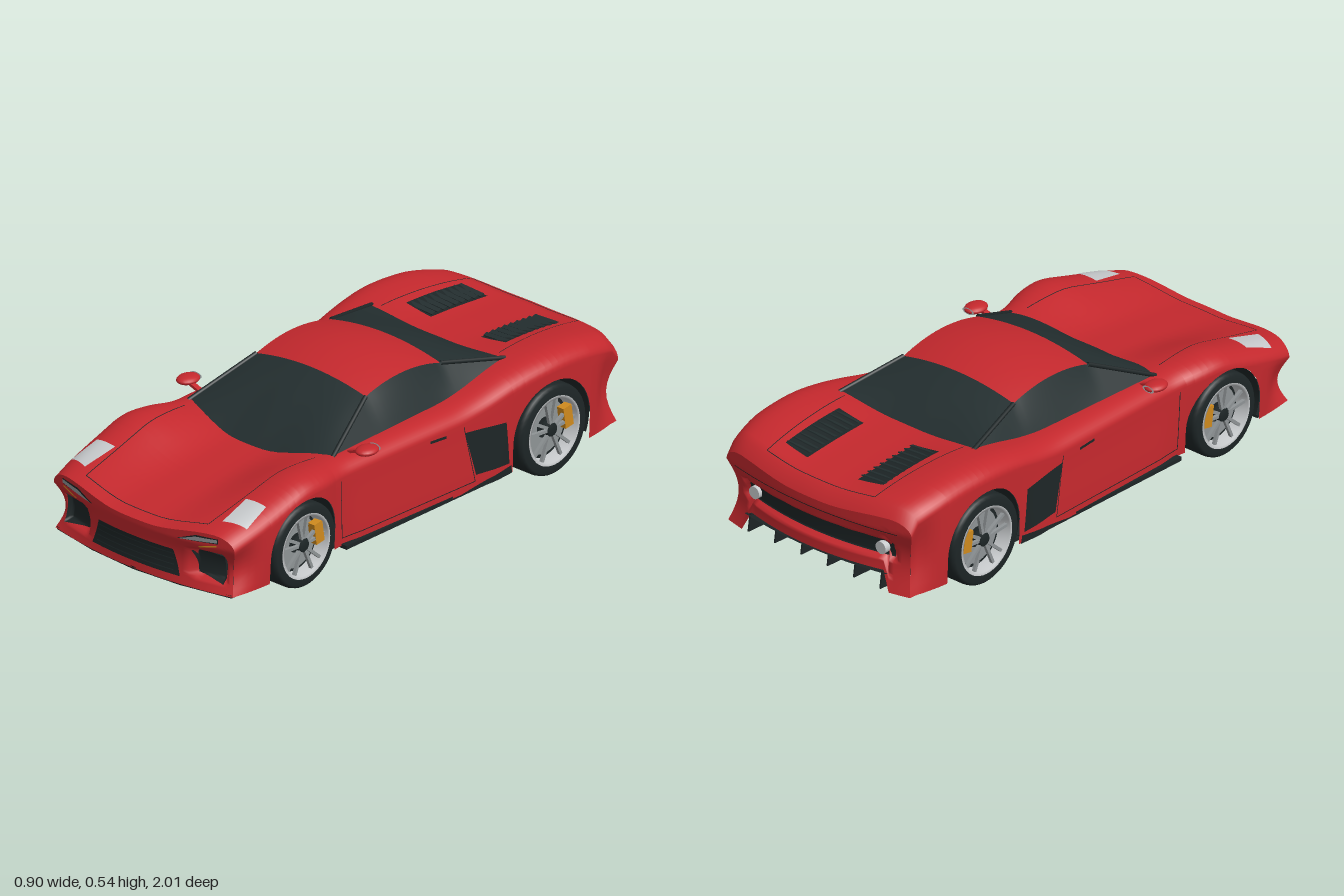
import * as THREE from 'three';

const mat = (name, color, side = THREE.DoubleSide) => Object.assign(new THREE.MeshStandardMaterial({ color, side }), { name });
const red = mat('red paint', 0xc4282d, THREE.FrontSide);
const glass = mat('dark glass', 0x232e2f);
const trim = mat('black trim', 0x1d2526);
const silver = mat('light silver', 0xc6c9cb);
const alloy = mat('grey alloy', 0x8f9496);
const amber = mat('amber', 0xcf8a1e);

const { clamp, lerp } = THREE.MathUtils;
const smooth = (t) => THREE.MathUtils.smoothstep(t, 0, 1);

// Smoothed lookup in a list of [z, value] pairs, falling in z
function profile(table) {
  const at = (z) => {
    const i = clamp(table.findIndex((p) => z >= p[0]), 1, table.length - 1);
    const [z0, a] = table[i - 1], [z1, b] = table[i];
    return lerp(a, b, clamp((z - z0) / (z1 - z0), 0, 1));
  };
  return (z) => [-2, -1, 0, 1, 2].reduce((s, k) => s + at(z + k * 0.018), 0) / 5;
}
const END = 0.945, BASE = 0.07, DROP = 0.05;
const halfWidth = profile([[0.96, 0.41], [0.9, 0.423], [0.8, 0.432], [0.6, 0.437], [0.5, 0.428], [0.4, 0.398],
  [0.25, 0.402], [0, 0.41], [-0.25, 0.418], [-0.45, 0.436], [-0.6, 0.448], [-0.8, 0.445], [-0.9, 0.428], [-0.96, 0.41]]);
const fender = profile([[0.96, 0.28], [0.9, 0.3], [0.8, 0.327], [0.7, 0.357], [0.6, 0.387], [0.5, 0.383], [0.4, 0.37],
  [-0.2, 0.372], [-0.3, 0.386], [-0.4, 0.41], [-0.5, 0.427], [-0.6, 0.436], [-0.7, 0.434], [-0.8, 0.422], [-0.9, 0.395], [-0.96, 0.373]]);
const centre = profile([[0.96, 0.25], [0.9, 0.265], [0.8, 0.283], [0.6, 0.313], [0.42, 0.332], [0.1, 0.35],
  [-0.2, 0.365], [-0.5, 0.408], [-0.7, 0.397], [-0.96, 0.37]]);

// Body surface as rules: top height, sides pinched at the ends, bowed ends
function topY(x, z) {
  const t = clamp(Math.abs(x) / halfWidth(z), 0, 1), f = fender(z), c = centre(z);
  if (t < 0.8) return c + (f - c) * smooth((t - 0.15) / 0.65);
  return f - DROP * (1 - Math.sqrt(Math.max(0, 1 - ((t - 0.8) / 0.2) ** 2)));
}
const depth = (y, z) => clamp((fender(z) - DROP - y) / (fender(z) - DROP - BASE), 0, 1);
const pinch = (y, z) => 0.028 * Math.sin(Math.PI * depth(y, z)) * smooth((Math.abs(z) - 0.8) / 0.145);
function sideX(y, z) {
  const k = depth(y, z), door = 1 - smooth((Math.abs(z) - 0.3) / 0.15);
  return halfWidth(z) + 0.008 * smooth(k) * door - 0.008 * k * k * (1 - door) - pinch(y, z);
}
const bow = (x, z) => z + Math.sign(z) * 0.055 * (1 - clamp(Math.abs(x) / halfWidth(z), 0, 1) ** 2) * smooth((Math.abs(z) - 0.55) / (END - 0.55));
// End panels, with hollows for the side intakes and the tail lamp band
const hollow = (x, y, x0, x1, y0, y1) => [[x, x0], [x1, x], [y, y0], [y1, y]].reduce((p, [a, b]) => p * smooth((a - b) / 0.015 + 0.5), 1);
function endZ(x, y, e) {
  const ax = Math.abs(x), u = Math.min(1, ax / 0.4);
  const cut = e > 0 ? 0.03 * hollow(ax, y, 0.24, 0.36, 0.11, 0.21) : 0.03 * hollow(ax, y, -1, 0.335, 0.185, 0.255);
  return bow(x, e * END) - e * (pinch(y, e * END) * (0.3 + 0.7 * u * u) + cut);
}
const WHEELS = [
  { name: 'front', z: 0.61, y: 0.153, r: 0.153, rim: 0.118, arch: 0.172, out: 0.432 },
  { name: 'rear', z: -0.6, y: 0.165, r: 0.165, rim: 0.126, arch: 0.184, out: 0.448 }];
function bottomY(z) {
  const w = WHEELS.find((o) => Math.abs(z - o.z) < o.arch);
  return w ? w.y + Math.sqrt(w.arch ** 2 - (z - w.z) ** 2) : BASE;
}

// Grid of points fn(i, j); the outside is along di x dj
function grid(ni, nj, fn) {
  const pos = [], idx = [];
  for (let j = 0; j <= nj; j++) for (let i = 0; i <= ni; i++) pos.push(...fn(i, j));
  for (let j = 0; j < nj; j++) for (let i = 0; i < ni; i++) {
    const a = j * (ni + 1) + i, b = a + ni + 1;
    idx.push(a, a + 1, b, a + 1, b + 1, b);
  }
  const g = new THREE.BufferGeometry();
  g.setAttribute('position', new THREE.Float32BufferAttribute(pos, 3));
  g.setIndex(idx);
  g.computeVertexNormals();
  return g;
}
// Four-cornered plate, or thin line, laid on the body by a mapping
const patch = (map, [a, b, c, d], n = 14) => grid(n, n, (i, j) =>
  map(...[0, 1].map((k) => lerp(lerp(a[k], b[k], i / n), lerp(d[k], c[k], i / n), j / n))));
const strip = (map, p, q, h = 0.0015) => {
  const l = Math.hypot(q[0] - p[0], q[1] - p[1]), nx = (p[1] - q[1]) / l * h, ny = (q[0] - p[0]) / l * h;
  return patch(map, [[p[0] - nx, p[1] - ny], [q[0] - nx, q[1] - ny], [q[0] + nx, q[1] + ny], [p[0] + nx, p[1] + ny]]);
};

export function createModel() {
  const car = new THREE.Group();
  const add = (name, geo, m, parent = car) => {
    const o = new THREE.Mesh(geo, m);
    o.name = name;
    parent.add(o);
    return o;
  };

  // Body shell: cross-sections with the lower edge following the wheel arches
  const zs = [];
  for (let i = 0; i <= 60; i++) zs.push(lerp(-END, END, i / 60));
  for (const w of WHEELS) {
    for (let i = 1; i < 20; i++) zs.push(w.z + w.arch * Math.cos(Math.PI * i / 20));
    for (const s of [-1, 1]) zs.push(w.z + s * w.arch * 0.9998, w.z + s * w.arch * 1.0002);
  }
  zs.sort((a, b) => a - b);
  const S = 8, T = 40;
  const topT = (i) => Math.sin(Math.PI * (i / T - 0.5));
  add('bodyShell', grid(2 * S + T, zs.length - 1, (i, j) => {
    const z = zs[j];
    if (i < S || i > S + T) {
      const y = lerp(bottomY(z), fender(z) - DROP, Math.min(i, 2 * S + T - i) / S);
      return [(i < S ? 1 : -1) * sideX(y, z), y, z - Math.sign(z) * pinch(y, z)];
    }
    const x = -topT(i - S) * halfWidth(z);
    return [x, topY(x, z), bow(x, z)];
  }), red);
  // Nose and tail panels; the tail is cut up over the diffuser
  for (const e of [1, -1]) add(e > 0 ? 'nosePanel' : 'tailPanel', grid(T, 28, (i, j) => {
    const z = e * END, x = e * topT(i) * halfWidth(z);
    const low = e > 0 ? BASE : lerp(0.14, BASE, smooth((Math.abs(x) - 0.32) / 0.02));
    const y = lerp(low, topY(x, z), j / 28), px = x * sideX(y, z) / halfWidth(z);
    return [px, y, bow(x, z) + endZ(px, y, e) - bow(px, z)];
  }), red);

  const onTop = (s) => (x, z) => [s * x, topY(x, z) + 0.003, bow(x, z)];
  const onSide = (s) => (z, y) => [s * (sideX(y, z) + 0.003), y, z];
  const onEnd = (s, e, off = 0.005) => (x, y) => [s * x, y, endZ(x, y, e) + e * off];

  // Cabin: windscreen, roof, rear window
  const roofAt = (u, z) => [u * 0.25, 0.538 - 0.028 * ((z + 0.06) / 0.18) ** 2 - 0.03 * u * u, z];
  const mix = (a, b, v) => a.map((p, k) => lerp(p, b[k], v));
  const baseAt = (x, z) => [x, topY(x, z) - 0.003, z];
  const screen = (u, v) => mix(baseAt(u * 0.33, 0.435 - 0.065 * u * u), roofAt(u, 0.12), v);
  const backlight = (u, v) => mix(roofAt(u, -0.25), baseAt(u * 0.305, -0.51), v);
  const pane = (fn) => grid(20, 10, (i, j) => {
    const u = i / 10 - 1, [x, y, z] = fn(u, j / 10);
    return [x, y + 0.014 * Math.sin(Math.PI * j / 10) * (1 - u * u), z];
  });
  add('windscreen', pane(screen), glass);
  add('roof', grid(20, 12, (i, j) => roofAt(i / 10 - 1, lerp(0.12, -0.25, j / 12))), red);
  add('rearWindow', pane(backlight), glass);
  const edge = (z) => z > 0.12 ? screen(1, (0.37 - z) / 0.25) : z > -0.25 ? roofAt(1, z) : backlight(1, (-0.25 - z) / 0.26);

  // Grille, tail band and cross seams
  add('centreGrille', patch(onEnd(1, 1), [[-0.2, 0.098], [0.2, 0.098], [0.17, 0.19], [-0.17, 0.19]], 20), trim);
  for (let i = 0; i < 4; i++) add('grilleBar', strip(onEnd(1, 1, 0.008), [-0.175, 0.115 + i * 0.02], [0.175, 0.115 + i * 0.02]), glass);
  add('tailBand', patch(onEnd(1, -1), [[-0.33, 0.19], [0.33, 0.19], [0.33, 0.25], [-0.33, 0.25]], 20), trim);
  add('tailSeam', strip(onEnd(1, -1), [-0.37, 0.3], [0.37, 0.3]), trim);
  add('hoodFrontSeam', strip(onTop(1), [-0.28, 0.9], [0.28, 0.9]), trim);
  add('rearDeckSeam', strip(onTop(1), [-0.245, -0.9], [0.245, -0.9]), trim);

  // Floor pan with wheel notches and splitter edge
  const half = [[0.2, 0.985], [0.4, 0.945], [0.41, 0.79], [0.3, 0.78], [0.3, 0.44], [0.385, 0.43], [0.4, -0.41], [0.3, -0.42], [0.3, -0.75]];
  const points = (list) => list.map((p) => new THREE.Vector2(...p));
  const pan = new THREE.Shape(points([[0, 1], ...half, ...half.map(([x, z]) => [-x, z]).reverse()]));
  const floor = add('floorPan', new THREE.ExtrudeGeometry(pan, { depth: 0.01, bevelEnabled: false }), trim);
  floor.rotation.x = Math.PI / 2;
  floor.position.y = 0.075;
  // Rear diffuser ramp and fins
  add('diffuser', patch((x, z) => [x, lerp(0.068, 0.14, (-0.75 - z) / 0.2), z < -0.9 ? bow(x, z) : z],
    [[-0.32, -0.75], [0.32, -0.75], [0.32, -END], [-0.32, -END]]), trim);
  const fin = new THREE.Shape(points([[0.75, 0.068], [0.97, 0.075], [0.96, 0.14]]));
  for (let i = 0; i < 6; i++) {
    const f = add('diffuserFin', new THREE.ExtrudeGeometry(fin, { depth: 0.006, bevelEnabled: false }), trim);
    f.rotation.y = Math.PI / 2;
    f.position.x = -0.303 + i * 0.12;
  }

  for (const s of [1, -1]) {
    const top = onTop(s), side = onSide(s), nose = onEnd(s, 1);
    // Side glass and pillars
    add('sideGlass', grid(40, 5, (i, j) => {
      const z = lerp(0.37, -0.51, i / 40), p = mix(baseAt(lerp(0.33, 0.305, i / 40), z), edge(z), j / 5);
      return [s * p[0], p[1], p[2]];
    }), glass);
    for (const fn of [screen, backlight]) {
      const path = new THREE.LineCurve3(...[0, 1].map((v) => new THREE.Vector3(...fn(s, v))));
      add('pillar', new THREE.TubeGeometry(path, 1, 0.008, 8), trim);
    }
    // Lamps and intakes
    add('headlight', patch(top, [[0.315, 0.875], [0.402, 0.865], [0.388, 0.755], [0.3, 0.75]]), silver);
    add('runningLightSurround', patch(nose, [[0.192, 0.242], [0.357, 0.259], [0.357, 0.277], [0.27, 0.273]]), trim);
    add('runningLight', patch(onEnd(s, 1, 0.008), [[0.2, 0.244], [0.354, 0.263], [0.354, 0.275], [0.27, 0.268]]), alloy);
    add('indicator', strip(nose, [0.28, 0.232], [0.35, 0.25], 0.003), amber);
    add('sideIntake', patch(nose, [[0.25, 0.118], [0.365, 0.105], [0.36, 0.215], [0.238, 0.2]], 20), trim);
    const lamp = add('tailLight', new THREE.CylinderGeometry(0.023, 0.023, 0.024, 20), silver);
    lamp.rotation.x = Math.PI / 2;
    lamp.position.set(s * 0.288, 0.22, endZ(0.288, 0.22, -1) - 0.014);
    // Deck vents with slats
    add('deckVent', patch(top, [[0.115, -0.595], [0.228, -0.595], [0.222, -0.835], [0.115, -0.835]]), trim);
    for (let i = 0; i < 9; i++) {
      const z = -0.61 - i * 0.026, slat = add('ventSlat', new THREE.BoxGeometry(0.104, 0.004, 0.018), glass);
      slat.position.set(s * 0.17, topY(0.17, z) + 0.006, bow(0.17, z));
      slat.rotation.set(0.3, 0, s * 0.06);
    }
    // Panel seams, door handle, scoop and sill
    add('deckSeam', strip(top, [0.27, -0.52], [0.245, -0.9]), trim);
    add('hoodSeam', strip(top, [0.3, 0.42], [0.28, 0.9]), trim);
    for (const [p, q] of [[[0.4, 0.1], [0.41, 0.315]], [[-0.23, 0.1], [-0.185, 0.315]], [[0.4, 0.1], [-0.23, 0.1]]]) add('doorSeam', strip(side, p, q), trim);
    add('doorHandle', strip(side, [-0.025, 0.31], [-0.1, 0.305], 0.005), trim);
    add('sideScoop', patch(side, [[-0.235, 0.122], [-0.395, 0.11], [-0.38, 0.268], [-0.19, 0.29]]), trim);
    add('sillWedge', patch(side, [[-0.15, 0.07], [-0.41, 0.07], [-0.405, 0.1], [-0.28, 0.088]]), trim);
    add('sill', new THREE.BoxGeometry(0.05, 0.014, 0.78), trim).position.set(s * 0.397, 0.07, 0.01);
    // Mirrors
    const mirror = add('mirror', new THREE.SphereGeometry(1, 20, 12), red);
    mirror.scale.set(0.036, 0.016, 0.046);
    mirror.position.set(s * 0.41, 0.391, 0.285);
    const face = add('mirrorGlass', new THREE.CircleGeometry(1, 16), silver);
    face.scale.set(0.026, 0.012, 1);
    face.position.set(s * 0.41, 0.391, 0.246);
    const stalk = add('mirrorStalk', new THREE.BoxGeometry(0.06, 0.01, 0.02), red);
    stalk.position.set(s * 0.365, 0.377, 0.295);
    stalk.rotation.z = s * 0.35;

    // Wheels: arch liner, tyre, barrel, brake, paired spokes, hub
    for (const w of WHEELS) {
      const g = new THREE.Group(), h = 0.07, { r, rim } = w;
      add(w.name + 'ArchLiner', grid(24, 1, (i, j) => {
        const a = Math.PI * (i / 24 * 1.24 - 0.12), y = w.y + w.arch * Math.sin(a), z = w.z + w.arch * Math.cos(a);
        return [s * (j ? sideX(y, z) - 0.004 : 0.28), y, z];
      }), trim);
      g.name = w.name + 'Wheel';
      g.position.set(s * (w.out - h), w.y, w.z);
      car.add(g);
      const lathe = (name, pts, m) => { add(name, new THREE.LatheGeometry(points(pts), 40), m, g).rotation.z = -s * Math.PI / 2; };
      lathe('tyre', [[rim, -h], [r - 0.012, -h], [r - 0.003, -h + 0.008], [r, -h + 0.02], [r, h - 0.02], [r - 0.003, h - 0.008], [r - 0.012, h], [rim, h]], trim);
      lathe('rimBarrel', [[rim, h + 0.001], [rim - 0.01, h], [rim - 0.014, h - 0.05]], silver);
      lathe('wheelBack', [[rim, -h + 0.004], [0, -h + 0.004]], trim);
      lathe('wheelWell', [[rim, h - 0.05], [0, h - 0.05]], trim);
      lathe('brakeDisc', [[rim * 0.78, h - 0.045], [rim * 0.3, h - 0.045]], alloy);
      lathe('hub', [[0.026, h - 0.04], [0.026, h - 0.012], [0.02, h - 0.006], [0, h - 0.006]], trim);
      for (let i = 0; i < 10; i++) {
        const spoke = new THREE.BoxGeometry(0.012, rim - 0.026, 0.011).translate(s * (h - 0.016), rim / 2 + 0.008, 0);
        add('spoke', spoke, alloy, g).rotation.x = Math.floor(i / 2) * Math.PI * 0.4 + (i % 2 ? 0.22 : -0.22);
      }
      const caliper = add('brakeCaliper', new THREE.BoxGeometry(0.03, 0.078, 0.04), amber, g);
      caliper.position.set(s * (h - 0.024), 0.022, -rim * 0.64);
      caliper.rotation.x = 0.15;
    }
  }
  return car;
}
